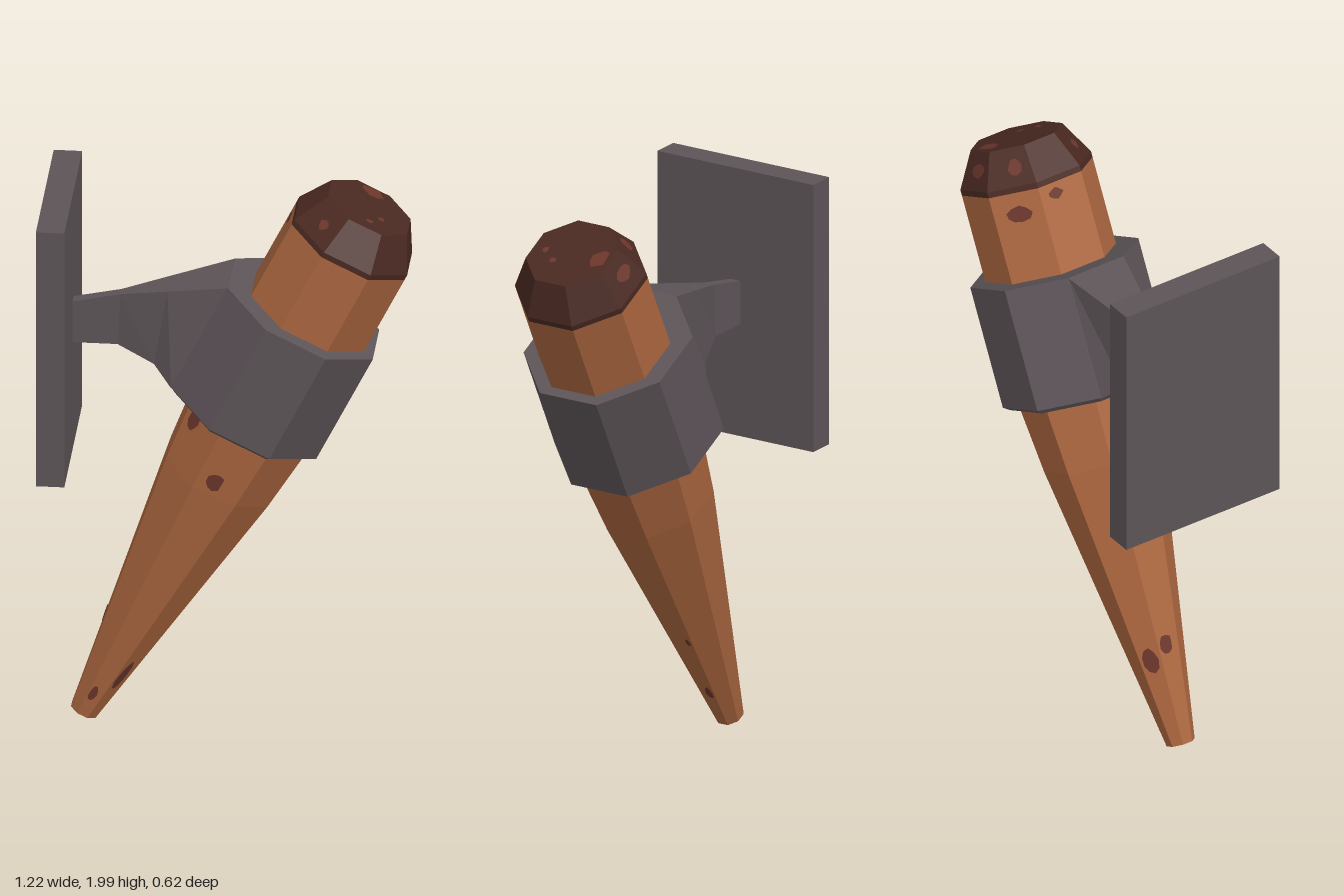
import * as THREE from 'three';

const mat = (name, color, extra = {}) => {
  const m = new THREE.MeshStandardMaterial({ color, flatShading: true, ...extra });
  m.name = name;
  return m;
};

// Octagonal solid of revolution; profile holds [distance to flat side, height]
function octagon(profile) {
  const k = 1 / Math.cos(Math.PI / 8);
  const pts = profile.map(([r, y]) => new THREE.Vector2(r * k, y));
  return new THREE.LatheGeometry(pts, 8, Math.PI / 8);
}

// Tube of rectangular sections: [topX, topY, bottomX, bottomY, halfDepth]
function loft(sections) {
  const pos = [], idx = [];
  for (const [tx, ty, bx, by, h] of sections) pos.push(tx, ty, h, bx, by, h, bx, by, -h, tx, ty, -h);
  for (let i = 0; i < sections.length - 1; i++) {
    for (let j = 0; j < 4; j++) {
      const a = i * 4 + j, b = i * 4 + (j + 1) % 4;
      idx.push(a, b, b + 4, a, b + 4, a + 4);
    }
  }
  const g = new THREE.BufferGeometry();
  g.setAttribute('position', new THREE.Float32BufferAttribute(pos, 3));
  g.setIndex(idx);
  g.computeVertexNormals();
  return g;
}

export function createModel() {
  const wood = mat('wood', 0xab663f);
  const char = mat('charred wood', 0x4a2921);
  const ember = mat('scorch mark', 0x6c362b);
  const metal = mat('dark metal', 0x5d5458);

  const model = new THREE.Group();
  const add = (parent, name, geometry, material) => {
    const mesh = new THREE.Mesh(geometry, material);
    mesh.name = name;
    parent.add(mesh);
    return mesh;
  };

  // Wall plate
  add(model, 'wallPlate', new THREE.BoxGeometry(0.095, 0.94, 0.62), metal).position.set(-0.567, 1.475, 0);

  // Arm flaring out to the width of the clasp
  add(model, 'bracketArm', loft([
    [-0.525, 1.55, -0.525, 1.4, 0.02],
    [-0.36, 1.585, -0.37, 1.4, 0.02],
    [-0.2, 1.622, -0.245, 1.352, 0.06],
    [0.006, 1.669, -0.183, 1.29, 0.111],
  ]), metal);

  // Tilted torch with its clasp
  const torch = new THREE.Group();
  torch.name = 'torch';
  torch.position.set(-0.485, 0.03, 0);
  torch.rotation.z = -Math.atan(0.5);
  model.add(torch);

  const profile = [[0, 0], [0.045, 0], [0.188, 1.01], [0.21, 1.25], [0.21, 1.99], [0.21, 2.01], [0.147, 2.13], [0, 2.13]];
  add(torch, 'handle', octagon(profile.slice(0, 5)), wood);
  add(torch, 'charredTip', octagon(profile.slice(4)), char);
  add(torch, 'clasp', octagon([[0.2, 1.25], [0.25, 1.25], [0.27, 1.265], [0.27, 1.687], [0.18, 1.687]]), metal)
    .position.x = -0.024;

  // Scorch marks: thin irregular patches laid on the flat sides
  let seed = 7;
  const rand = () => (seed = (seed * 16807) % 2147483647) / 2147483647;
  // [profile segment, position along it, side angle in degrees, sideways shift, half width, half height]
  const marks = [
    [2, 0.22, 0, -0.022, 0.03, 0.036],
    [2, 0.78, -45, -0.04, 0.028, 0.04],
    [1, 0.1, 0, -0.008, 0.014, 0.03],
    [1, 0.2, 45, -0.008, 0.018, 0.07],
    [1, 0.17, 90, 0.012, 0.014, 0.03],
    [1, 0.44, 90, 0.03, 0.01, 0.018],
    [1, 0.31, -135, 0, 0.03, 0.05],
    [1, 0.35, -90, -0.01, 0.025, 0.035],
    [3, 0.9, -135, 0, 0.045, 0.03],
    [3, 0.95, -90, -0.03, 0.03, 0.02],
    [5, 0.5, -135, 0.02, 0.025, 0.03],
    [5, 0.5, 180, 0.01, 0.04, 0.028],
    [5, 0.45, -45, 0.01, 0.02, 0.02],
    [6, 0.25, 180, 0, 0.042, 0.03],
    [6, 0.55, 45, 0, 0.013, 0.013],
    [6, 0.35, 0, 0.01, 0.015, 0.012],
  ];
  for (const [seg, f, deg, shift, w, h] of marks) {
    const [r0, y0] = profile[seg], [r1, y1] = profile[seg + 1];
    const a = THREE.MathUtils.degToRad(deg);
    const out = new THREE.Vector3(Math.sin(a), 0, Math.cos(a));
    const side = new THREE.Vector3(Math.cos(a), 0, -Math.sin(a));
    const up = out.clone().multiplyScalar(r1 - r0).setY(y1 - y0).normalize();
    const normal = side.clone().cross(up);
    const outline = Array.from({ length: 9 }, (_, i) => {
      const t = i / 9 * Math.PI * 2, k = 0.8 + rand() * 0.3;
      return new THREE.Vector2(Math.cos(t) * w * k, Math.sin(t) * h * k);
    });
    const mark = add(torch, 'scorchMark', new THREE.ShapeGeometry(new THREE.Shape(outline)), ember);
    mark.quaternion.setFromRotationMatrix(new THREE.Matrix4().makeBasis(side, up, normal));
    mark.position.copy(out).multiplyScalar(r0 + (r1 - r0) * f).setY(y0 + (y1 - y0) * f)
      .addScaledVector(side, shift).addScaledVector(normal, 0.003);
  }
  return model;
}
